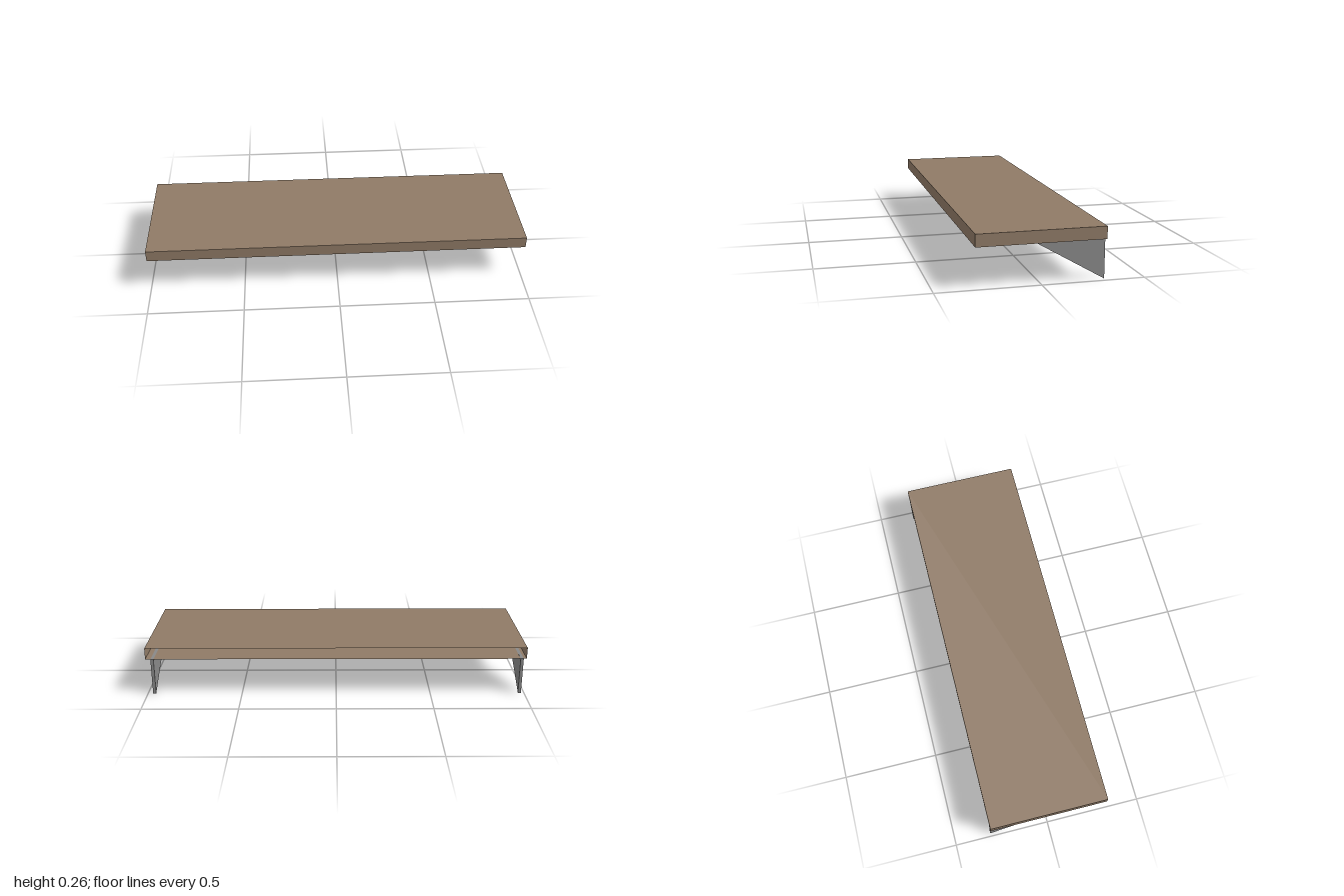
import * as THREE from 'three';

export function createModel() {
  const group = new THREE.Group();
  const wood = new THREE.MeshStandardMaterial({ color: 0x8f7a66, side: THREE.DoubleSide });
  wood.name = 'brown wood';
  const metal = new THREE.MeshStandardMaterial({ color: 0x888888 });
  metal.name = 'grey metal';

  const back = -0.31, bottom = 0.197, top = 0.258;

  // Hollow shelf board: a box whose last face (the back) is left open
  const boardGeometry = new THREE.BoxGeometry(2, top - bottom, -2 * back);
  boardGeometry.setIndex(Array.from(boardGeometry.index.array).slice(0, 30));
  boardGeometry.clearGroups();
  const board = new THREE.Mesh(boardGeometry, wood);
  board.name = 'shelfBoard';
  board.position.y = (top + bottom) / 2;
  group.add(board);

  // Triangular brackets, their top faces just showing on the board's inner floor
  const thickness = 0.016;
  const profile = new THREE.Shape([
    new THREE.Vector2(back, 0),
    new THREE.Vector2(0.03, bottom + 0.0005),
    new THREE.Vector2(back, bottom + 0.0005),
  ]);
  const bracketGeometry = new THREE.ExtrudeGeometry(profile, { depth: thickness, bevelEnabled: false });
  bracketGeometry.rotateY(-Math.PI / 2); // profile x becomes z, depth runs to -x
  bracketGeometry.translate(thickness / 2, 0, 0);
  for (const [name, x] of [['leftBracket', 0.965], ['rightBracket', -0.976]]) {
    const bracket = new THREE.Mesh(bracketGeometry, metal);
    bracket.name = name;
    bracket.position.x = x;
    group.add(bracket);
  }

  return group;
}
